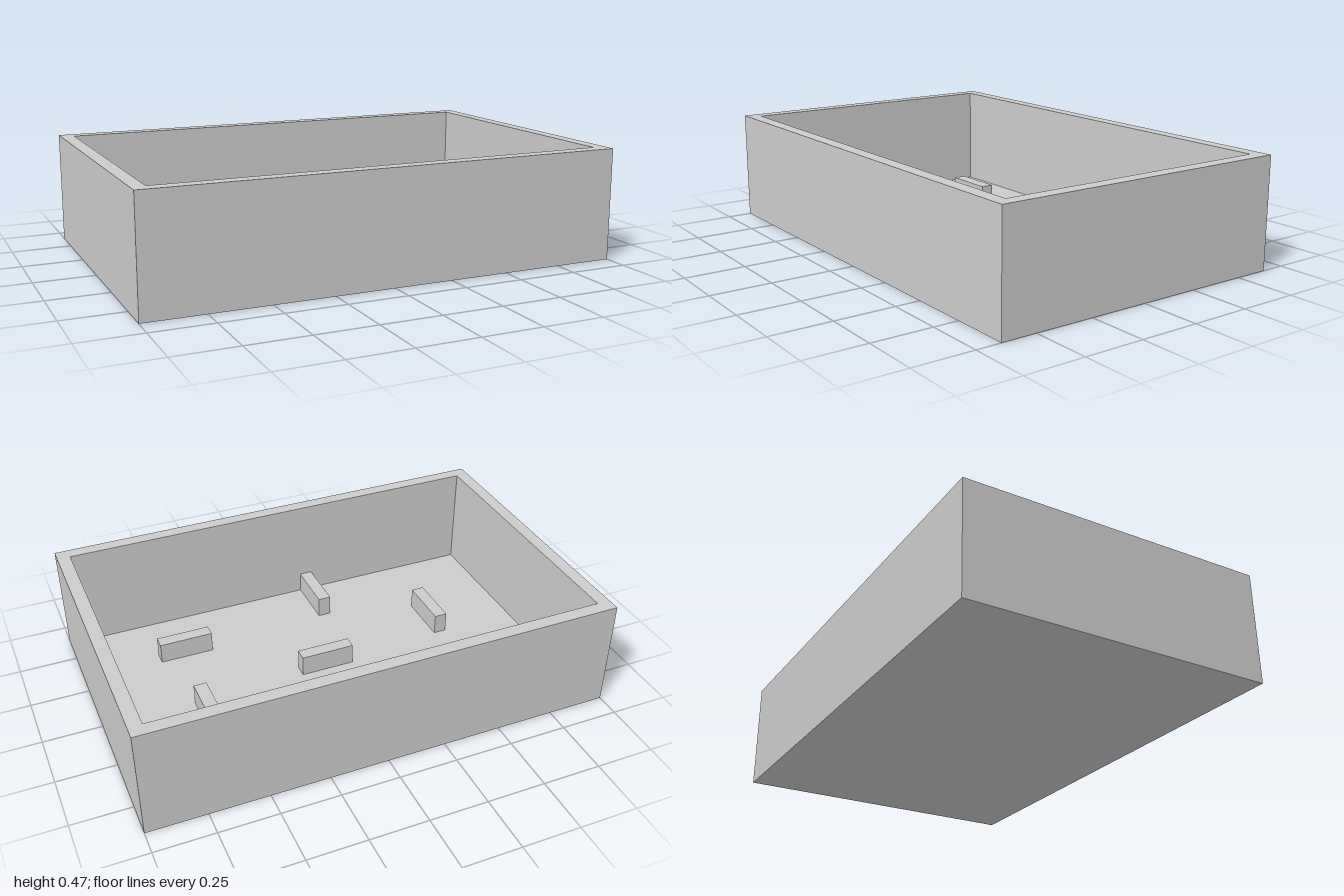
import * as THREE from 'three';

const WIDTH = 2, DEPTH = 1.294, HEIGHT = 0.47;
const WALL = 0.056, FLOOR = 0.019;
const BLOCK = { length: 0.235, thick: 0.056, top: 0.11 };

const material = new THREE.MeshStandardMaterial({ color: 0xcccccc, flatShading: true });

// Corners of a centred rectangle
function rectangle(w, d) {
  return [[-w, -d], [w, -d], [w, d], [-w, d]].map(([x, y]) => new THREE.Vector2(x / 2, y / 2));
}

function addPart(group, name, geometry, x = 0, y = 0, z = 0) {
  const mesh = new THREE.Mesh(geometry, material);
  mesh.name = name;
  mesh.position.set(x, y, z);
  group.add(mesh);
  return mesh;
}

export function createModel() {
  const model = new THREE.Group();
  model.name = 'openTray';
  const innerW = WIDTH - 2 * WALL, innerD = DEPTH - 2 * WALL;

  // Four walls as one upright rectangular ring
  const ring = new THREE.Shape(rectangle(WIDTH, DEPTH));
  ring.holes.push(new THREE.Path(rectangle(innerW, innerD).reverse()));
  const walls = new THREE.ExtrudeGeometry(ring, { depth: HEIGHT, bevelEnabled: false });
  walls.rotateX(-Math.PI / 2);
  addPart(model, 'walls', walls);

  // Thin floor inside the walls
  addPart(model, 'floor', new THREE.BoxGeometry(innerW, FLOOR, innerD), 0, FLOOR / 2, 0);

  // Small blocks on the floor, each paired with one turned half round the centre
  const blockHeight = BLOCK.top - FLOOR;
  const addBlock = (name, x, z, alongZ) => {
    const w = alongZ ? BLOCK.thick : BLOCK.length;
    const d = alongZ ? BLOCK.length : BLOCK.thick;
    addPart(model, name, new THREE.BoxGeometry(w, blockHeight, d), x, FLOOR + blockHeight / 2, z);
  };
  const wallBlockZ = -(innerD - BLOCK.length) / 2;
  const pairs = [
    ['outerBlock', -0.542, -0.326, false],
    ['wallBlock', 0.146, wallBlockZ, true],
    ['sideBlock', 0.581, -0.142, true],
  ];
  addBlock('centreBlock', 0, 0, false);
  for (const [name, x, z, alongZ] of pairs) {
    addBlock(name + 'Back', x, z, alongZ);
    addBlock(name + 'Front', -x, -z, alongZ);
  }

  return model;
}
